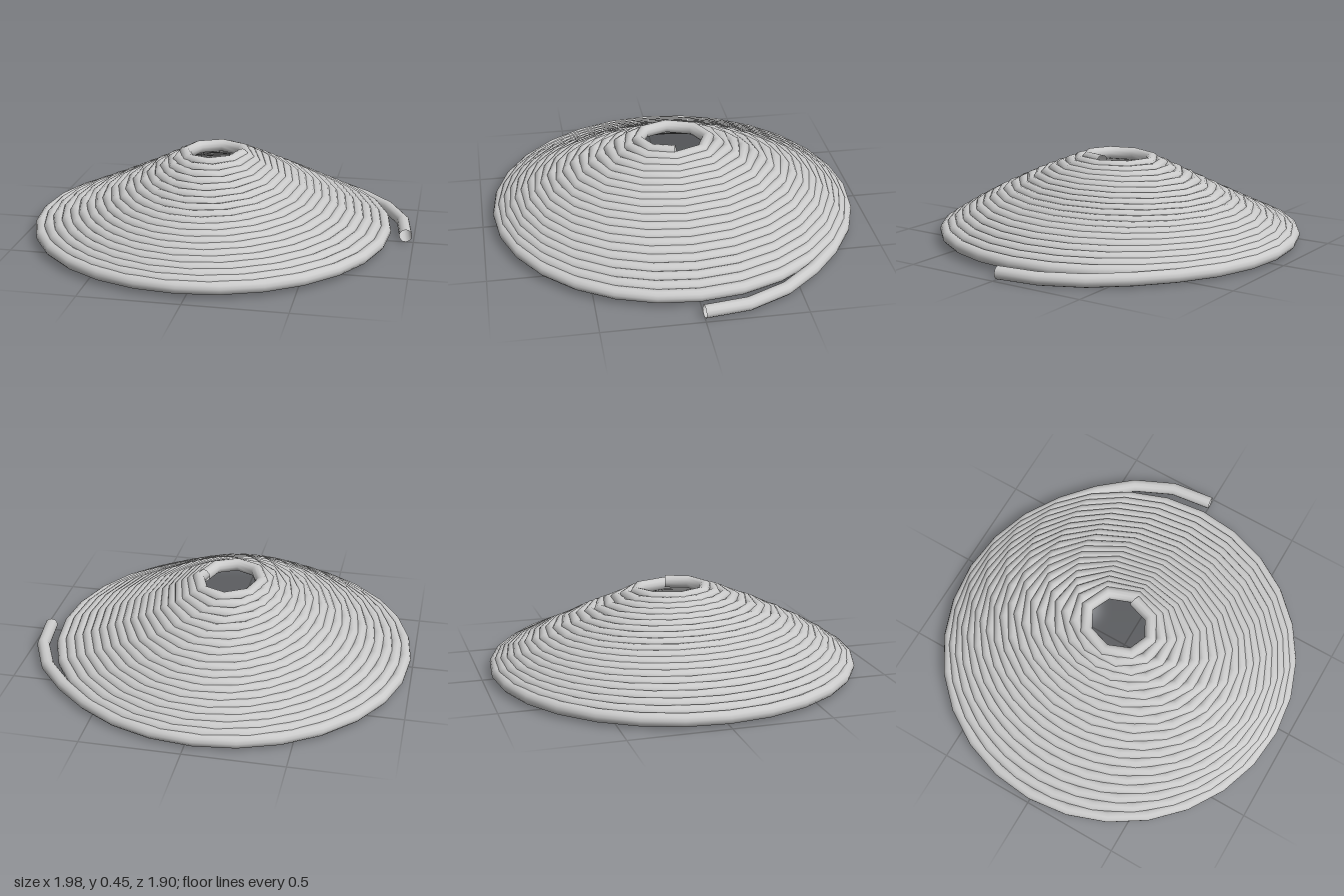
import * as THREE from 'three';

const TURNS = 20, TUBE_RADIUS = 0.033, CENTRE_X = -0.04;

// Point on the descending spiral, a = turns completed
function coilPoint(a) {
  const s = a / TURNS, bulge = s * (1 - s);
  // the last eighth of a turn bends away from the coil as a loose tail
  const tail = 0.06 * THREE.MathUtils.smoothstep(a, TURNS - 0.14, TURNS - 0.03);
  const rx = 0.145 + 0.795 * s - 0.2 * bulge + tail;
  const rz = 0.16 + 0.77 * s + 0.26 * bulge + tail;
  const angle = a * Math.PI * 2;
  return new THREE.Vector3(
    CENTRE_X + rx * Math.cos(angle),
    0.42 - 0.387 * s,
    rz * Math.sin(angle));
}

// Polyline path: few sides on the small loops, more on the large ones
class CoilPath extends THREE.Curve {
  constructor(points) {
    super();
    this.points = points;
  }
  index(u) {
    return Math.round(u * (this.points.length - 1));
  }
  getPoint(u, target = new THREE.Vector3()) {
    return target.copy(this.points[this.index(u)]);
  }
  getPointAt(u, target) {
    return this.getPoint(u, target);
  }
  getTangentAt(u, target = new THREE.Vector3()) {
    const p = this.points, i = this.index(u);
    const before = p[Math.max(i - 1, 0)], after = p[Math.min(i + 1, p.length - 1)];
    return target.subVectors(after, before).normalize();
  }
}

export function createModel() {
  const group = new THREE.Group();
  group.name = 'conicalCoil';

  const points = [];
  for (let turn = 0; turn < TURNS; turn++) {
    const sides = Math.round(8 + 20 * turn / (TURNS - 1));
    for (let i = 0; i < sides; i++) points.push(coilPoint(turn + i / sides));
  }
  points.push(coilPoint(TURNS));

  // Coiled tube with open ends
  const tube = new THREE.Mesh(
    new THREE.TubeGeometry(new CoilPath(points), points.length - 1, TUBE_RADIUS, 12, false),
    new THREE.MeshStandardMaterial({ color: 0xcccccc, side: THREE.DoubleSide }));
  tube.name = 'coiledTube';
  group.add(tube);
  return group;
}
